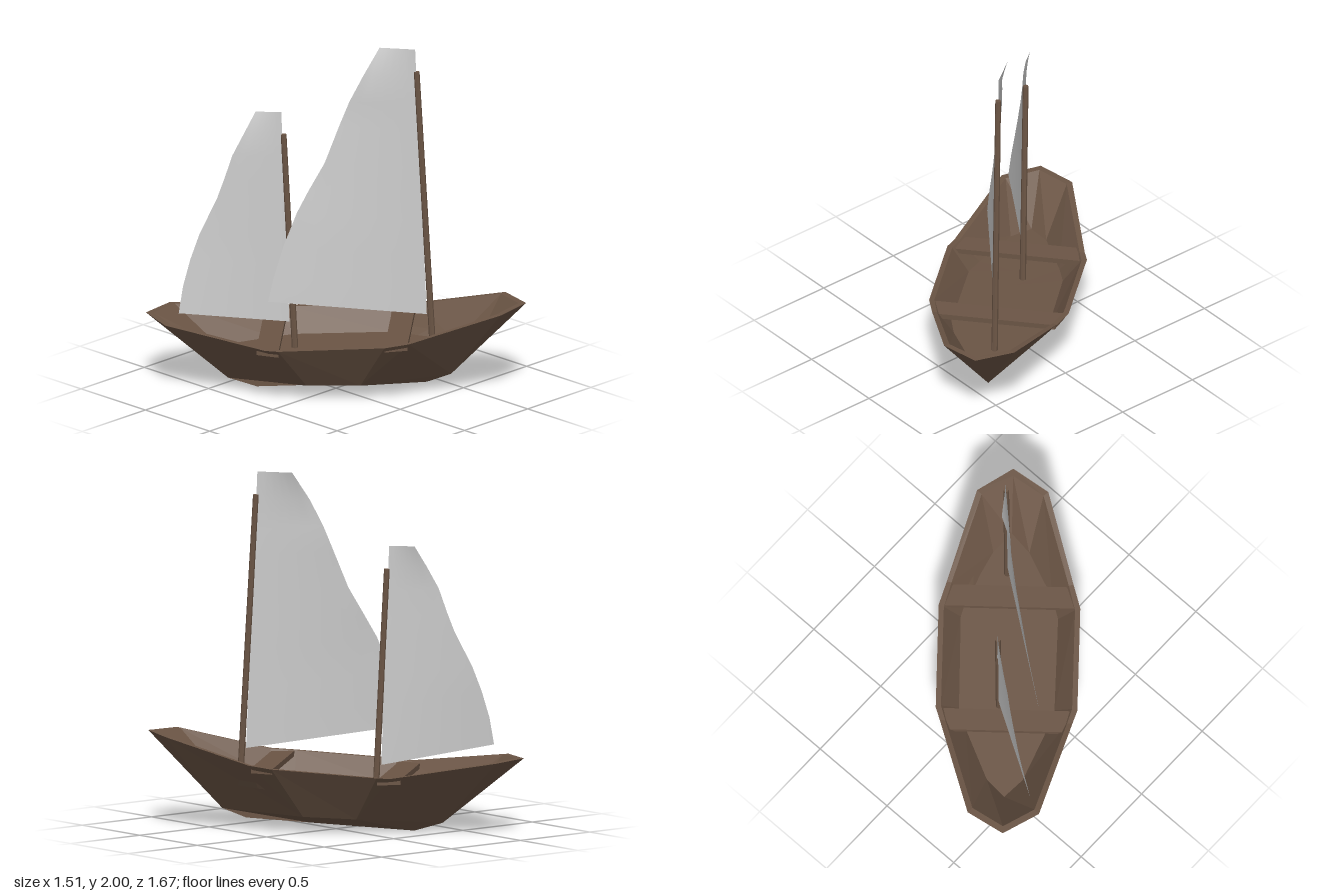
import * as THREE from 'three';

const wood = new THREE.MeshStandardMaterial({ color: 0x6b5545, flatShading: true, side: THREE.DoubleSide });
const cloth = new THREE.MeshStandardMaterial({ color: 0xcccccc, side: THREE.DoubleSide });
const heading = 0.708; // the boat lies diagonally

function named(name, geometry, material) {
  const mesh = new THREE.Mesh(geometry, material);
  mesh.name = name;
  return mesh;
}

// Mirrors a half outline [halfWidth, along, height], bow to stern, into a closed loop.
function mirrorLoop(half) {
  const other = half.slice(1, -1).reverse().map(([w, s, y]) => [-w, s, y]);
  return [...half, ...other].map(([w, s, y]) => new THREE.Vector3(w, y, s));
}

// Skins consecutive loops of equal length, leaving out collapsed triangles.
function skin(loops) {
  const pos = [];
  const tri = (a, b, c) => {
    const area = b.clone().sub(a).cross(c.clone().sub(a)).length();
    if (area > 1e-6) for (const p of [a, b, c]) pos.push(p.x, p.y, p.z);
  };
  for (let k = 0; k + 1 < loops.length; k++) {
    const a = loops[k], b = loops[k + 1];
    for (let i = 0; i < a.length; i++) {
      const j = (i + 1) % a.length;
      tri(a[i], b[i], b[j]);
      tri(a[i], b[j], a[j]);
    }
  }
  const g = new THREE.BufferGeometry();
  g.setAttribute('position', new THREE.Float32BufferAttribute(pos, 3));
  g.computeVertexNormals();
  return g;
}

// Hull: floor, inner walls, rim, outer walls, shallow V bottom
function makeHull() {
  const midline = [0.3, 0.3, 0.3, 0.15, -0.15, -0.3, -0.3, -0.3].map(s => [0, s, 0.235 + 0.045 * s]);
  const floor = [[0, 0.77, 0.27], [0.1, 0.66, 0.265], [0.235, 0.4, 0.253], [0.27, 0.28, 0.248],
    [0.265, -0.25, 0.224], [0.225, -0.37, 0.218], [0.1, -0.66, 0.205], [0, -0.76, 0.2]];
  const innerRim = [[0, 1.015, 0.53], [0.172, 0.905, 0.522], [0.325, 0.425, 0.397], [0.364, 0.285, 0.385],
    [0.364, -0.285, 0.35], [0.338, -0.37, 0.345], [0.172, -0.91, 0.42], [0, -1.015, 0.425]];
  const rim = [[0, 1.057, 0.532], [0.198, 0.928, 0.524], [0.352, 0.43, 0.397], [0.393, 0.296, 0.385],
    [0.393, -0.296, 0.35], [0.368, -0.37, 0.345], [0.198, -0.936, 0.42], [0, -1.057, 0.425]];
  const chine = [[0, 0.64, 0.105], [0, 0.64, 0.105], [0.21, 0.15, 0.097], [0.21, 0.15, 0.097],
    [0.21, -0.15, 0.09], [0.21, -0.15, 0.09], [0, -0.6, 0.052], [0, -0.6, 0.052]];
  const keel = [0.505, 0.505, 0.15, 0.15, -0.15, -0.15, -0.44, -0.44]
    .map(s => [0, s, 0.028 + 0.053 * s]);
  return skin([midline, floor, innerRim, rim, chine, keel].map(mirrorLoop));
}

// Bench: a plank tapering to follow the hull sides
function makeBench(dir, top) {
  const shape = new THREE.Shape([[-0.372, 0.295], [0.372, 0.295], [0.335, 0.42], [-0.335, 0.42]]
    .map(([x, s]) => new THREE.Vector2(x, s * dir)));
  const g = new THREE.ExtrudeGeometry(shape, { depth: 0.03, bevelEnabled: false });
  g.rotateX(Math.PI / 2);
  g.translate(0, top, 0);
  return g;
}

// Mast: a slim pole between two points
function makeMast(from, to) {
  const a = new THREE.Vector3(...from), b = new THREE.Vector3(...to);
  const dir = b.clone().sub(a);
  const g = new THREE.CylinderGeometry(0.016, 0.018, dir.length(), 8);
  g.applyQuaternion(new THREE.Quaternion().setFromUnitVectors(new THREE.Vector3(0, 1, 0), dir.normalize()));
  g.translate(...a.add(b).multiplyScalar(0.5).toArray());
  return g;
}

// Sail: straight rows from the mast edge to a curved trailing edge
function makeSail(top, bottom, trailing) {
  const rows = trailing.length - 1, cols = 6;
  const g = new THREE.PlaneGeometry(1, 1, cols, rows);
  const luffTop = new THREE.Vector3(...top), luffBottom = new THREE.Vector3(...bottom);
  const yTop = trailing[0][1], yBottom = trailing[rows][1];
  const p = new THREE.Vector3(), q = new THREE.Vector3();
  for (let r = 0; r <= rows; r++) {
    q.set(...trailing[r]);
    const t = (yTop - q.y) / (yTop - yBottom);
    for (let c = 0; c <= cols; c++) {
      p.lerpVectors(luffTop, luffBottom, t).lerp(q, c / cols);
      g.attributes.position.setXYZ(r * (cols + 1) + c, p.x, p.y, p.z);
    }
  }
  g.computeVertexNormals();
  return g;
}

export function createModel() {
  const model = new THREE.Group();
  model.name = 'sailingBoat';

  const body = new THREE.Group();
  body.name = 'boatBody';
  body.rotation.y = heading;
  body.add(named('hull', makeHull(), wood));
  body.add(named('frontBench', makeBench(1, 0.383), wood));
  body.add(named('rearBench', makeBench(-1, 0.338), wood));
  model.add(body);

  model.add(named('frontMast', makeMast([0.363, 0.25, 0.396], [0.308, 1.87, 0.325]), wood));
  model.add(named('rearMast', makeMast([-0.117, 0.21, -0.203], [-0.155, 1.475, -0.255]), wood));

  model.add(named('frontSail', makeSail([0.303, 2, 0.318], [0.34, 0.447, 0.372], [
    [0.187, 2, 0.155], [0.09, 1.845, 0.12], [0.035, 1.7, 0.07], [-0.01, 1.56, 0.035],
    [-0.085, 1.35, -0.005], [-0.16, 1.19, -0.058], [-0.222, 1.07, -0.087], [-0.29, 0.88, -0.125],
    [-0.345, 0.7, -0.148], [-0.375, 0.568, -0.16]]), cloth));
  model.add(named('rearSail', makeSail([-0.163, 1.605, -0.265], [-0.137, 0.375, -0.228], [
    [-0.257, 1.605, -0.373], [-0.325, 1.49, -0.395], [-0.385, 1.365, -0.428], [-0.425, 1.23, -0.452],
    [-0.462, 1.12, -0.472], [-0.55, 0.92, -0.522], [-0.6, 0.78, -0.543], [-0.645, 0.63, -0.556],
    [-0.675, 0.477, -0.56]]), cloth));
  return model;
}
